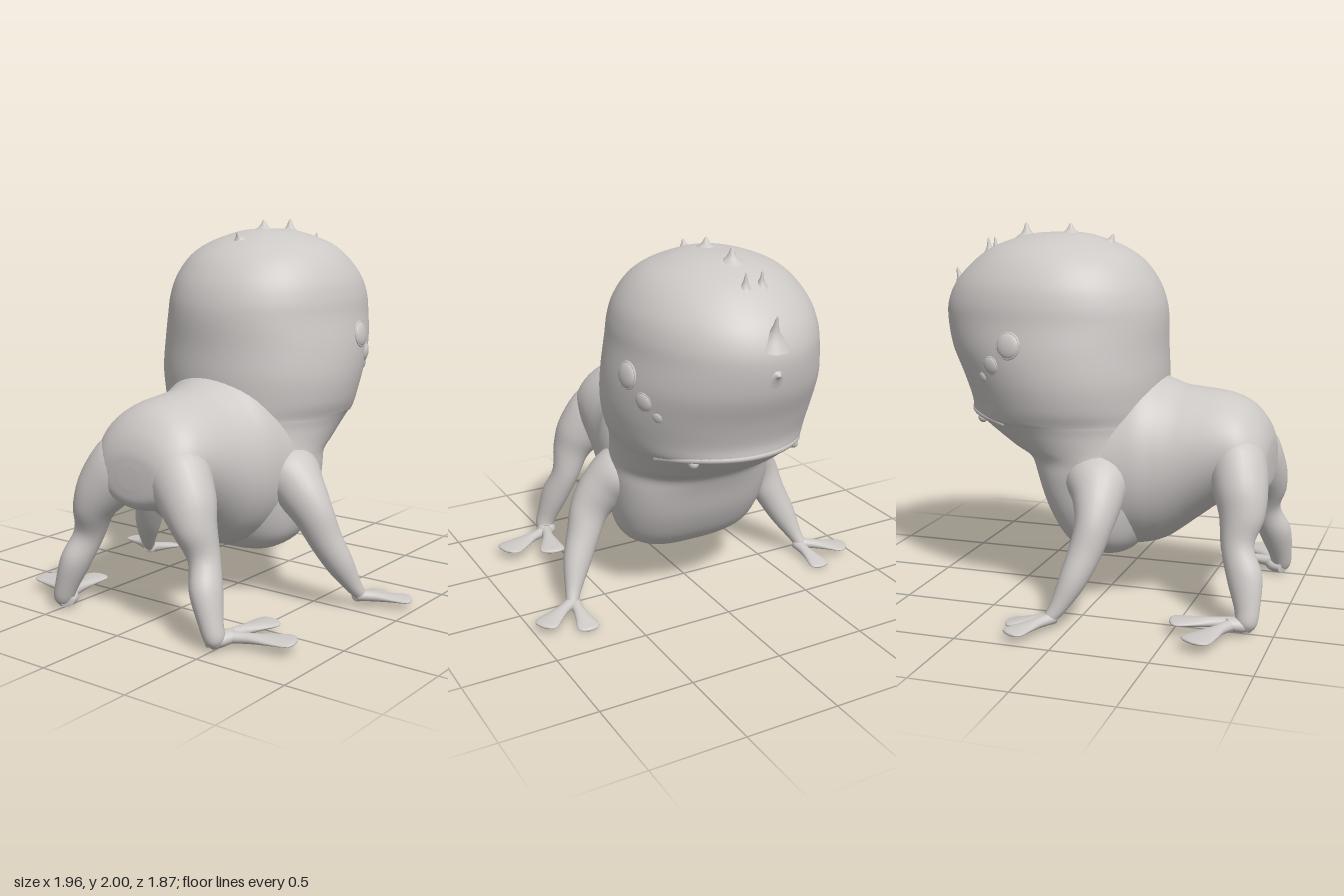
import * as THREE from 'three';

const V = (x, y, z) => new THREE.Vector3(x, y, z);
const oval = a => [Math.cos(a), Math.sin(a)];

// Smooth closed skin through sections { c: centre, u, v: half axes }, with u x v along the path
function loft(sections, steps = 48, sides = 40, outline = oval) {
  const curve = key => new THREE.CatmullRomCurve3(sections.map(s => s[key]), false, 'catmullrom', 0.5);
  const [c, u, v] = ['c', 'u', 'v'].map(curve);
  const pos = [], index = [];
  for (let i = 0; i <= steps; i++) {
    const t = i / steps, C = c.getPoint(t), U = u.getPoint(t), W = v.getPoint(t);
    for (let j = 0; j < sides; j++) {
      const [p, q] = outline((j / sides) * Math.PI * 2, C.y);
      pos.push(...C.clone().addScaledVector(U, p).addScaledVector(W, q).toArray());
    }
  }
  const first = pos.length / 3;
  pos.push(...sections[0].c.toArray(), ...sections[sections.length - 1].c.toArray());
  for (let j = 0; j < sides; j++) {
    const k = (j + 1) % sides, end = steps * sides;
    for (let i = 0; i < steps; i++) {
      const a = i * sides + j, b = i * sides + k;
      index.push(a, b, a + sides, b, b + sides, a + sides);
    }
    index.push(first, k, j, first + 1, end + j, end + k);
  }
  const g = new THREE.BufferGeometry();
  g.setAttribute('position', new THREE.Float32BufferAttribute(pos, 3));
  g.setIndex(index);
  g.computeVertexNormals();
  return g;
}

// Limb along points [x, y, z, sideRadius, otherRadius], mirrored by the sign s
function limb(points, ref, s) {
  const centres = points.map(p => V(p[0] * s, p[1], p[2]));
  const sections = centres.map((c, i) => {
    const t = centres[Math.min(i + 1, centres.length - 1)].clone().sub(centres[Math.max(i - 1, 0)]).normalize();
    const u = ref.clone().cross(t).normalize();
    const v = t.clone().cross(u);
    return { c, u: u.multiplyScalar(points[i][3]), v: v.multiplyScalar(points[i][4]) };
  });
  return loft(sections, 36, 24);
}

// Head and chest: height, front z, back z, half width
const HEAD = [
  [0.255, -0.03, 0.05, 0.1], [0.268, -0.1, 0.15, 0.25], [0.35, -0.2, 0.22, 0.375], [0.5, -0.29, 0.27, 0.43],
  [0.68, -0.36, 0.29, 0.45], [0.78, -0.42, 0.3, 0.45], [0.84, -0.54, 0.3, 0.455], [0.92, -0.67, 0.3, 0.472],
  [0.97, -0.735, 0.3, 0.488], [0.995, -0.77, 0.3, 0.498], [1.07, -0.775, 0.3, 0.525], [1.2, -0.82, 0.305, 0.547],
  [1.35, -0.885, 0.3, 0.545], [1.5, -0.915, 0.3, 0.522], [1.6, -0.905, 0.285, 0.51], [1.7, -0.855, 0.245, 0.48],
  [1.8, -0.76, 0.17, 0.415], [1.87, -0.66, 0.07, 0.33], [1.92, -0.53, -0.05, 0.21], [1.945, -0.42, -0.14, 0.11],
  [1.95, -0.32, -0.24, 0.04],
];

// Rump and belly: z, top, bottom, half width
const BODY = [
  [-0.15, 1.08, 0.36, 0.36], [0, 1.16, 0.27, 0.43], [0.2, 1.23, 0.285, 0.415], [0.32, 1.19, 0.32, 0.385],
  [0.41, 1.16, 0.38, 0.365], [0.5, 1.15, 0.45, 0.35], [0.65, 1.13, 0.56, 0.33], [0.76, 1.085, 0.59, 0.31],
  [0.84, 1, 0.61, 0.26], [0.88, 0.91, 0.65, 0.19], [0.89, 0.83, 0.72, 0.07],
];

// Outline of the head and chest: squarer at the chest, a little wider behind than in front
const headOutline = (a, y) => {
  const c = Math.cos(a), s = Math.sin(a);
  const k = THREE.MathUtils.smoothstep(y, 0.6, 0.96);
  return [Math.sign(c) * Math.abs(c) ** (0.62 + 0.36 * k) * (1 - 0.06 * k * s), Math.sign(s) * Math.abs(s) ** (0.88 + 0.12 * k)];
};

// Head section at a height
function headAt(y) {
  const i = Math.max(1, HEAD.findIndex(r => r[0] >= y));
  const a = HEAD[i - 1], b = HEAD[i], t = (y - a[0]) / (b[0] - a[0]);
  const [, zf, zb, w] = a.map((n, k) => n + (b[k] - n) * t);
  return { cz: (zf + zb) / 2, rz: (zb - zf) / 2, w };
}

// Point and outward direction on the side of the head at (y, z)
function onHead(y, z, s) {
  const at = (h, d) => {
    const { cz, rz, w } = headAt(h);
    return V(s * w * headOutline(Math.asin((cz - d) / rz), h)[0], h, d);
  };
  const e = 0.03;
  const alongY = at(y + e, z).sub(at(y - e, z)), alongZ = at(y, z + e).sub(at(y, z - e));
  return { p: at(y, z), n: alongY.cross(alongZ).multiplyScalar(s).normalize() };
}

export function createModel() {
  const model = new THREE.Group();
  const skin = new THREE.MeshStandardMaterial({ color: 0xcdc9c7 });
  skin.name = 'pale grey skin';
  const add = (name, geometry, parent = model) => {
    const m = new THREE.Mesh(geometry, skin);
    m.name = name;
    parent.add(m);
    return m;
  };

  add('headAndChest', loft(HEAD.map(([y, f, b, w]) => ({
    c: V(0, y, (f + b) / 2), u: V(w, 0, 0), v: V(0, 0, -(b - f) / 2),
  })), 100, 72, headOutline));
  add('rump', loft(BODY.map(([z, t, b, w]) => ({
    c: V(0, (t + b) / 2, z), u: V(w, 0, 0), v: V(0, (t - b) / 2, 0),
  })), 60, 56));

  // Drooping upper lip around the front of the head
  const lip = [];
  for (let i = 0; i <= 16; i++) {
    const k = i / 8 - 1, y = 1.005 - 0.04 * k ** 4;
    const { cz, rz, w } = headAt(y);
    const [p, q] = headOutline(Math.PI / 2 - k * 1.08, y);
    lip.push(V(p * (w - 0.01), y, cz - q * (rz - 0.01)));
  }
  add('upperLip', new THREE.TubeGeometry(new THREE.CatmullRomCurve3(lip), 48, 0.017, 10));

  // Crest of flared spikes: tip x, y, z, lean direction y, z, height, width factor
  const spikeProfile = [[1.4, -0.35], [0.85, 0], [0.45, 0.25], [0.24, 0.55], [0.13, 0.85], [0, 1]];
  const spikes = [
    [0, 1.945, 0.01, 1, 0.4, 0.055, 1], [0, 2, -0.23, 1, 0, 0.055, 1.2], [0, 2, -0.485, 1, -0.05, 0.075, 0.9],
    [0.045, 1.92, -0.69, 1, -0.1, 0.085, 0.5], [-0.045, 1.92, -0.69, 1, -0.1, 0.085, 0.5],
    [0, 1.755, -0.9, 1, -0.25, 0.12, 0.5], [0, 1.47, -0.938, 0.05, -1, 0.035, 1.6],
  ];
  for (const [x, y, z, dy, dz, h, r] of spikes) {
    const dir = V(0, dy, dz).normalize();
    const spike = add('crestSpike', new THREE.LatheGeometry(
      spikeProfile.map(([a, b]) => new THREE.Vector2(a * h * r, b * h)), 20));
    spike.quaternion.setFromUnitVectors(V(0, 1, 0), dir);
    spike.position.set(x, y, z).addScaledVector(dir, -h);
  }

  const rearLeg = [
    [0.04, 0.86, 0.66, 0.1, 0.1], [0.17, 0.8, 0.73, 0.17, 0.15], [0.275, 0.67, 0.775, 0.145, 0.14],
    [0.335, 0.55, 0.795, 0.105, 0.115], [0.38, 0.41, 0.785, 0.078, 0.084], [0.43, 0.27, 0.835, 0.076, 0.09],
    [0.478, 0.13, 0.86, 0.058, 0.065], [0.5, 0.06, 0.86, 0.05, 0.055], [0.505, 0.025, 0.85, 0.03, 0.035],
  ];
  const frontLeg = [
    [0.2, 0.8, -0.03, 0.08, 0.1], [0.36, 0.71, 0.035, 0.14, 0.165], [0.46, 0.61, 0.07, 0.135, 0.13],
    [0.545, 0.5, 0.075, 0.11, 0.097], [0.6, 0.37, 0.045, 0.09, 0.085], [0.66, 0.24, 0, 0.075, 0.07],
    [0.71, 0.12, -0.055, 0.045, 0.045], [0.74, 0.05, -0.1, 0.03, 0.03],
  ];
  // Paddle toe from an ankle point to a tip
  const toe = (from, to, width, s) => limb(
    [[0, 0.035, 0.03], [0.3, 0.032, 0.026], [0.6, 0.75 * width, 0.02], [0.85, width, 0.014], [0.96, 0.75 * width, 0.011], [1, 0.2 * width, 0.005]]
      .map(([t, w, h]) => [...from.map((n, k) => n + (to[k] - n) * t), w, h]), V(0, 1, 0), s);

  for (const s of [1, -1]) {
    const side = new THREE.Group();
    side.name = s > 0 ? 'leftSide' : 'rightSide';
    model.add(side);

    add('rearLeg', limb(rearLeg, V(0, 0, 1), s), side);
    add('rearHeel', limb([[0.46, 0.045, 0.88, 0.035, 0.03], [0.5, 0.05, 0.83, 0.055, 0.04], [0.55, 0.06, 0.77, 0.035, 0.028]], V(0, 1, 0), s), side);
    add('rearInnerToe', toe([0.515, 0.06, 0.8], [0.595, 0.065, 0.49], 0.072, s), side);
    add('rearOuterToe', toe([0.515, 0.055, 0.8], [0.835, 0.06, 0.655], 0.082, s), side);

    add('frontLeg', limb(frontLeg, V(0, 0, 1), s), side);
    add('frontInnerToe', toe([0.72, 0.055, -0.08], [0.735, 0.012, -0.33], 0.06, s), side);
    add('frontOuterToe', toe([0.72, 0.06, -0.08], [0.965, 0.045, -0.23], 0.068, s), side);

    // Row of three shrinking eyes, each a shallow dome in a thin rim
    for (const [z, y, r] of [[-0.385, 1.4, 0.066], [-0.495, 1.29, 0.047], [-0.558, 1.22, 0.026]]) {
      const { p, n } = onHead(y, z, s);
      const eye = add('eye', new THREE.SphereGeometry(r, 24, 16), side);
      eye.scale.z = 0.35;
      eye.position.copy(p);
      eye.quaternion.setFromUnitVectors(V(0, 0, 1), n);
      const rim = add('eyeRim', new THREE.TorusGeometry(r, r * 0.1, 8, 28), side);
      rim.position.copy(p);
      rim.quaternion.copy(eye.quaternion);
    }

    // Small tooth under the lip
    const tooth = add('tooth', new THREE.SphereGeometry(0.027, 16, 12), side);
    tooth.position.copy(onHead(0.975, -0.63, s).p);
  }
  return model;
}
